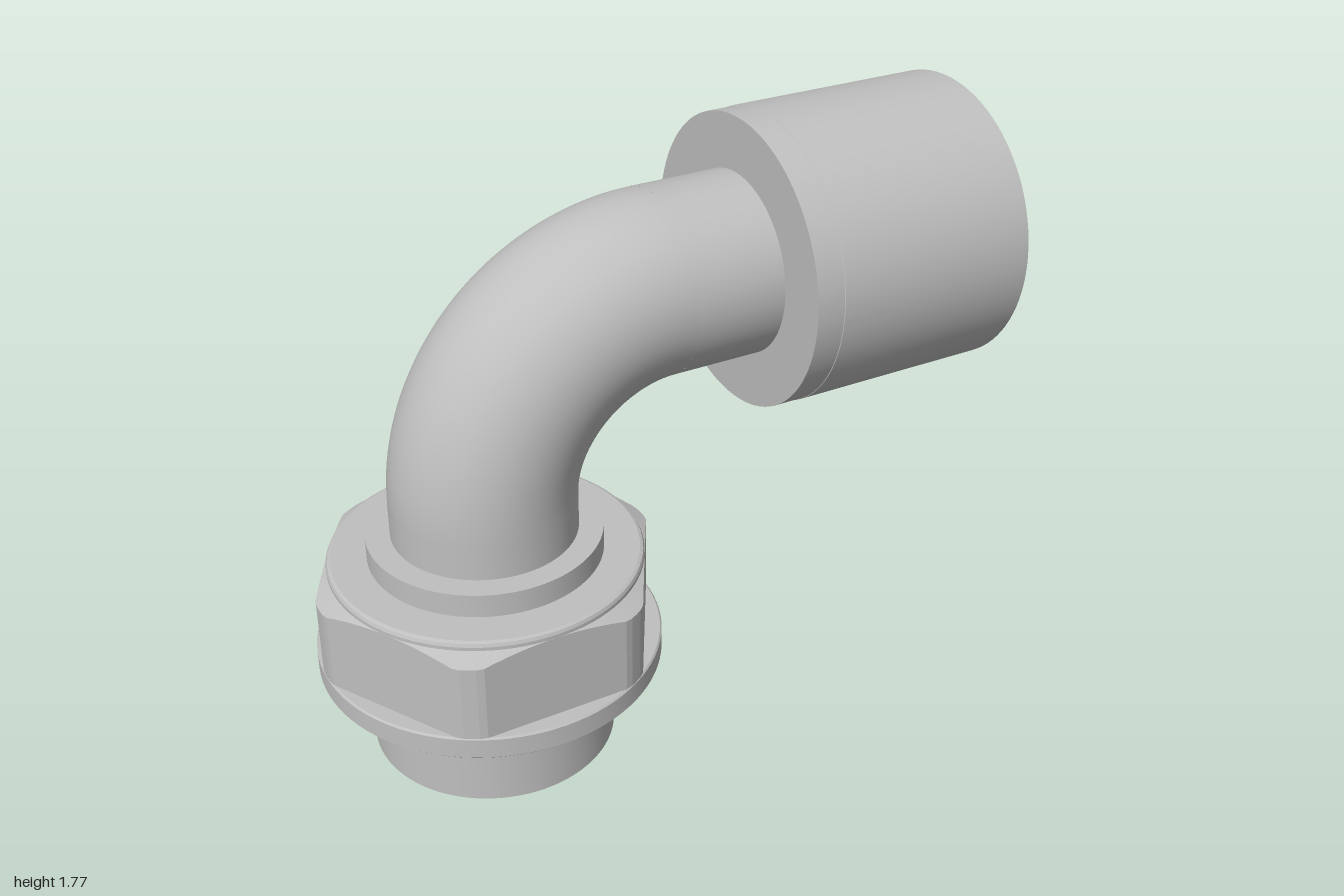
import * as THREE from 'three';
import { toCreasedNormals } from 'three/addons/utils/BufferGeometryUtils.js';

const AXIS_X = -0.5;  // vertical axis of the threaded end
const AXIS_Y = 1.35;  // horizontal axis of the sleeve
const BEND = 0.53;    // centre-line radius of the elbow
const PIPE = 0.265;
const BORE = 0.225;

export function createModel() {
  const group = new THREE.Group();
  const steel = new THREE.MeshStandardMaterial({ color: 0xbfbfbf, side: THREE.DoubleSide });
  steel.name = 'steel grey';

  const add = (name, geometry, x = 0, y = 0) => {
    const mesh = new THREE.Mesh(geometry, steel);
    mesh.name = name;
    mesh.position.set(x, y, 0);
    group.add(mesh);
    return mesh;
  };
  // Turned part from [radius, height] pairs, with sharp edges kept
  const turned = (profile) => toCreasedNormals(
    new THREE.LatheGeometry(profile.map(([r, h]) => new THREE.Vector2(r, h)), 96), 0.3);

  // Threaded end: conical bore, chamfered rim, undercut groove
  add('threadedEnd', turned([
    [BORE, 0.36], [0.305, 0], [0.335, 0], [0.358, 0.02], [0.358, 0.205],
    [0.335, 0.235], [0.333, 0.265], [0.34, 0.285], [0.355, 0.295],
  ]), AXIS_X);

  // Round flange below the nut
  add('flange', turned([
    [0.33, 0.295], [0.495, 0.295], [0.5, 0.3], [0.5, 0.36], [0.495, 0.365], [0.3, 0.365],
  ]), AXIS_X);

  // Hexagonal body with corners cut round and a conical top chamfer
  add('hexBody', hexBody(0.45, 0.5, 0.365, 0.622), AXIS_X);

  // Rounded washer face and collar on top of the nut
  add('washerFace', turned([
    [0.45, 0.615], [0.45, 0.632], [0.446, 0.641], [0.437, 0.645], [0.3, 0.645],
  ]), AXIS_X);
  add('collar', turned([[0.335, 0.64], [0.335, 0.715], [PIPE, 0.715]]), AXIS_X);

  // Pipe: lower straight, quarter bend, upper straight, each with its bore
  const cx = AXIS_X + BEND, cy = AXIS_Y - BEND;
  for (const [side, r] of [['pipe', PIPE], ['bore', BORE]]) {
    const bottom = side === 'pipe' ? 0.7 : 0.36;
    add(side + 'Lower', turned([[r, bottom], [r, cy]]), AXIS_X);
    add(side + 'Bend', new THREE.TorusGeometry(BEND, r, 64, 48, Math.PI / 2).rotateZ(Math.PI / 2), cx, cy);
    const end = side === 'pipe' ? 0.31 : 0.7;
    add(side + 'Upper', turned([[r, cx], [r, end]]).rotateZ(-Math.PI / 2), 0, AXIS_Y);
  }

  // Sleeve: outer shell, recessed ring, chamfered inner nozzle with conical bore
  add('sleeve', turned([
    [PIPE, 0.3], [0.423, 0.3], [0.423, 0.384], [0.425, 0.385], [0.425, 1],
    [0.4, 1], [0.372, 0.93], [0.343, 0.93],
  ]).rotateZ(-Math.PI / 2), 0, AXIS_Y);
  add('innerNozzle', turned([
    [0.343, 0.93], [0.315, 0.975], [0.285, 0.975], [BORE, 0.7],
  ]).rotateZ(-Math.PI / 2), 0, AXIS_Y);

  return group;
}

// Hexagon with corners along x: each column has a bottom point, a chamfer point and a top point
function hexBody(apothem, maxRadius, y0, y1) {
  const n = 144, positions = [], index = [];
  for (let i = 0; i <= n; i++) {
    const a = (i / n) * Math.PI * 2;
    const fromFlat = (a % (Math.PI / 3)) - Math.PI / 6;
    const r = Math.min(apothem / Math.cos(fromFlat), maxRadius);
    const edge = y1 - (r - apothem) * 0.5;
    for (const [rad, y] of [[r, y0], [r, edge], [apothem - 0.005, y1 + 0.002]]) {
      positions.push(rad * Math.cos(a), y, -rad * Math.sin(a));
    }
    if (i === n) break;
    for (let k = 0; k < 2; k++) {
      const p = i * 3 + k, q = p + 3;
      index.push(p, q, q + 1, p, q + 1, p + 1);
    }
  }
  const geometry = new THREE.BufferGeometry();
  geometry.setAttribute('position', new THREE.Float32BufferAttribute(positions, 3));
  geometry.setIndex(index);
  return toCreasedNormals(geometry, 0.2);
}
